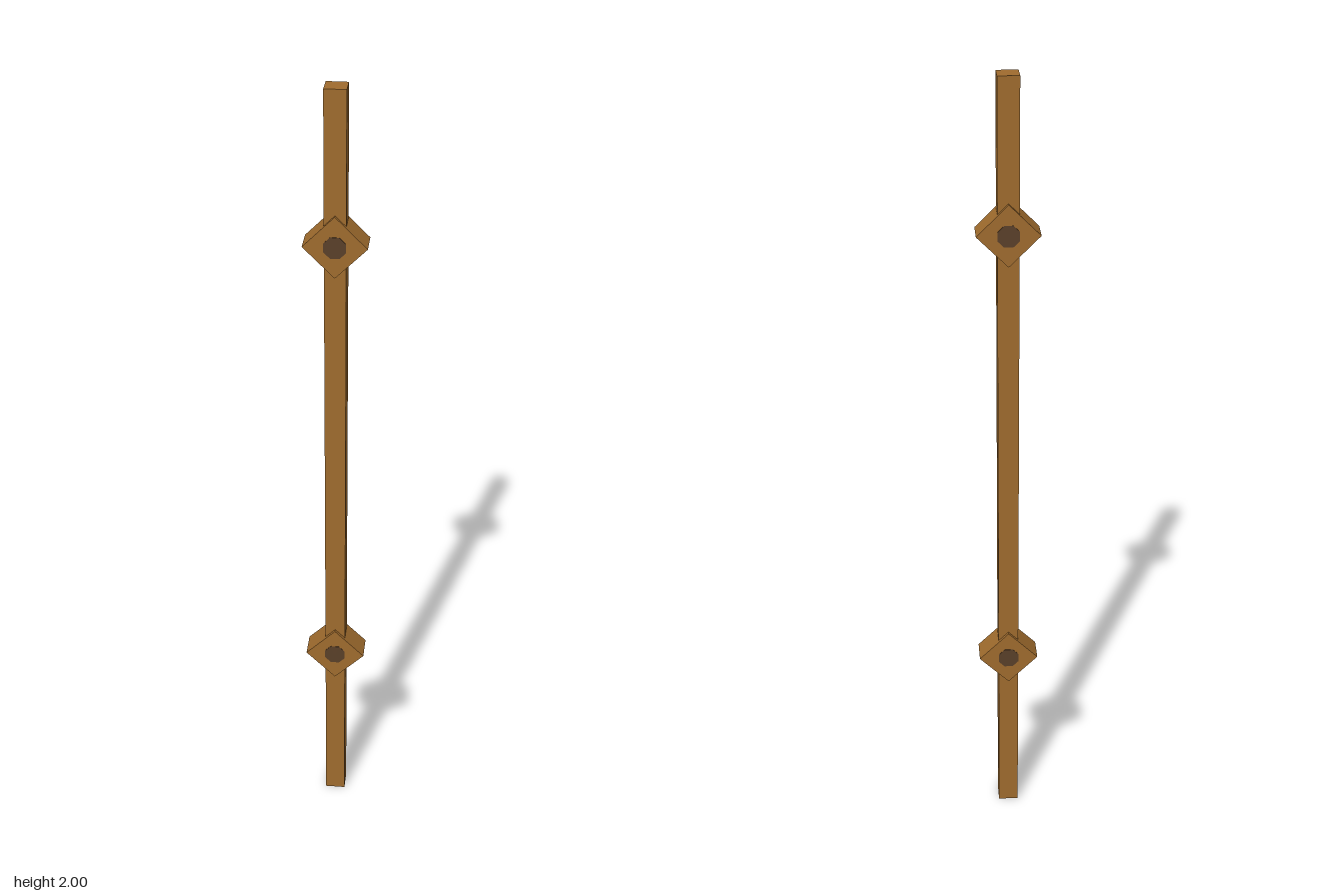
import * as THREE from 'three';

export function createModel() {
  const wood = new THREE.MeshStandardMaterial({ name: 'wood', color: 0xa06c2e, flatShading: true });
  const peg = new THREE.MeshStandardMaterial({ name: 'darkPeg', color: 0x5a4029, flatShading: true });
  const model = new THREE.Group();
  model.name = 'post';

  const add = (parent, name, geometry, material) => {
    const mesh = new THREE.Mesh(geometry, material);
    mesh.name = name;
    parent.add(mesh);
    return mesh;
  };

  // Square upright
  add(model, 'upright', new THREE.BoxGeometry(0.051, 2, 0.051), wood).position.y = 1;

  // Diamond collars with a peg showing on the front and back
  const side = 0.15 / Math.SQRT2;
  const collarGeometry = new THREE.BoxGeometry(side, side, 0.068).rotateZ(Math.PI / 4);
  const pegGeometry = new THREE.CylinderGeometry(0.028, 0.028, 0.07, 8)
    .rotateY(Math.PI / 8).rotateX(Math.PI / 2);
  for (const [name, y] of [['lower', 0.475], ['upper', 1.635]]) {
    const joint = new THREE.Group();
    joint.name = name + 'Joint';
    joint.position.y = y;
    add(joint, 'collar', collarGeometry, wood);
    add(joint, 'peg', pegGeometry, peg);
    model.add(joint);
  }
  return model;
}
